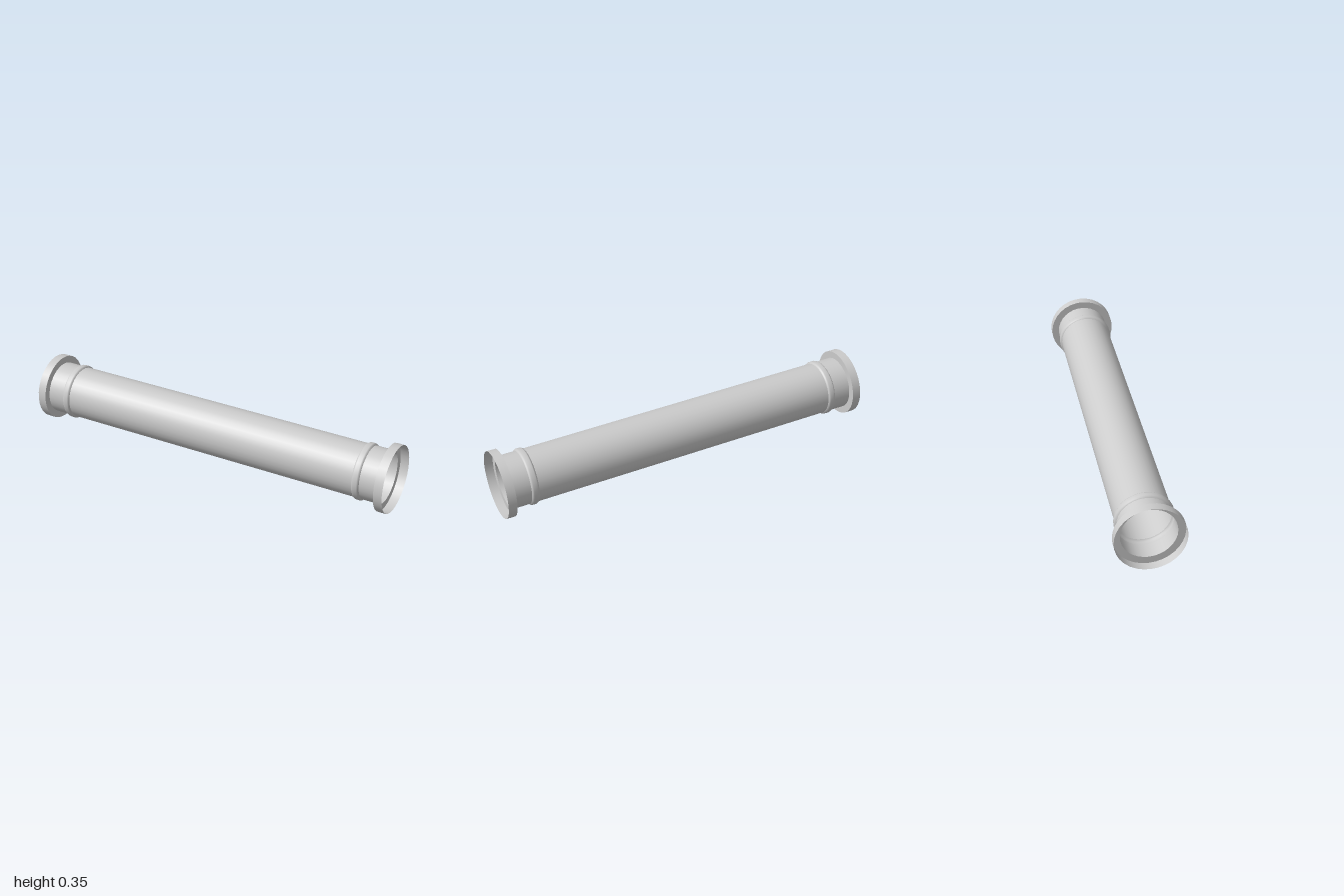
import * as THREE from 'three';

const SIDES = 32;
const PIPE_R = 0.137;
const FLANGE_R = 0.174;
const FLANGE_X = 0.955;

export function createModel() {
  const model = new THREE.Group();
  model.name = 'flangedPipe';
  const material = new THREE.MeshStandardMaterial({ color: 0xcccccc, side: THREE.DoubleSide });

  // Revolves [x, radius] points around the horizontal pipe axis
  function revolve(name, points, parent) {
    const profile = points.map(([x, r]) => new THREE.Vector2(r, x));
    const geometry = new THREE.LatheGeometry(profile, SIDES);
    geometry.rotateZ(-Math.PI / 2);
    const mesh = new THREE.Mesh(geometry, material);
    mesh.name = name;
    parent.add(mesh);
  }

  const axis = new THREE.Group();
  axis.name = 'pipe';
  axis.position.y = FLANGE_R;
  model.add(axis);

  // Main thin-walled tube between the two beads
  revolve('tube', [[-0.825, PIPE_R], [0.825, PIPE_R]], axis);

  // Both ends: raised bead, short neck and an open cup-shaped flange
  for (const side of [-1, 1]) {
    const end = new THREE.Group();
    end.name = side > 0 ? 'leftEnd' : 'rightEnd';
    end.rotation.y = side > 0 ? 0 : Math.PI;
    axis.add(end);

    revolve('bead', [
      [0.825, PIPE_R], [0.829, 0.143], [0.835, 0.146],
      [0.855, 0.146], [0.861, 0.143], [0.865, PIPE_R],
    ], end);
    revolve('neck', [[0.865, PIPE_R], [FLANGE_X, PIPE_R]], end);
    revolve('flangeFace', [[FLANGE_X, PIPE_R], [FLANGE_X, FLANGE_R]], end);
    revolve('flangeRim', [[FLANGE_X, FLANGE_R], [1, FLANGE_R]], end);
  }

  return model;
}
